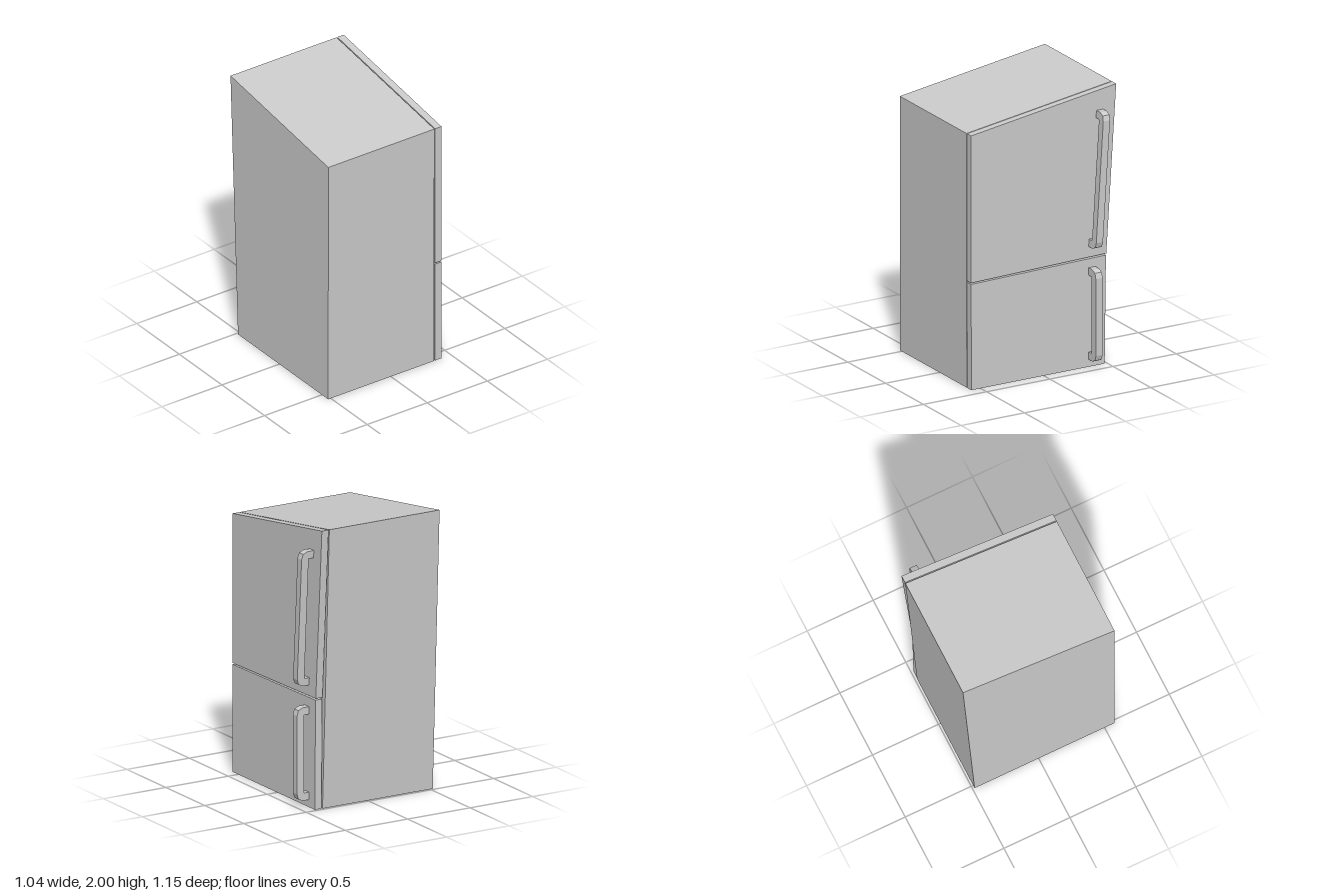
import * as THREE from 'three';

const material = new THREE.MeshStandardMaterial({ color: 0xcccccc, flatShading: true });

const shapeOf = (points) => new THREE.Shape(points.map(([x, y]) => new THREE.Vector2(x, y)));

// Slab with a side profile given as [z, y], spanning x0..x1
function slab(name, profile, x0, x1) {
  const geometry = new THREE.ExtrudeGeometry(shapeOf(profile.map(([z, y]) => [-z, y])), {
    depth: x1 - x0, bevelEnabled: false,
  });
  geometry.rotateY(Math.PI / 2).translate(x0, 0, 0);
  const mesh = new THREE.Mesh(geometry, material);
  mesh.name = name;
  return mesh;
}

// Bracket handle with chamfered outer corners, leaning back by lean from bottom to top
function handle(name, y0, y1, lean) {
  const root = 0.418, inner = 0.46, outer = 0.516, t = 0.053;
  const geometry = new THREE.ExtrudeGeometry(shapeOf([
    [root, y0], [0.471, y0], [0.504, y0 + 0.015], [outer, y0 + 0.052],
    [outer, y1 - 0.052], [0.504, y1 - 0.015], [0.471, y1], [root, y1],
    [root, y1 - t], [inner, y1 - t], [inner, y0 + t], [root, y0 + t],
  ]), { depth: 0.053, bevelEnabled: false });
  const p = geometry.attributes.position;
  for (let i = 0; i < p.count; i++) {
    p.setZ(i, p.getZ(i) - 0.408 - lean * (p.getY(i) - y0) / (y1 - y0));
  }
  geometry.computeVertexNormals();
  const mesh = new THREE.Mesh(geometry, material);
  mesh.name = name;
  return mesh;
}

export function createModel() {
  const group = new THREE.Group();
  group.name = 'refrigerator';

  // Cabinet with sloping top and leaning back
  group.add(slab('cabinet', [[0.573, 0], [-0.485, 0], [-0.573, 2], [0.575, 1.832]].reverse(), -0.522, 0.36));

  // Two doors, separated from the cabinet and each other by narrow gaps
  group.add(slab('upperDoor', [[0.575, 0.772], [-0.495, 0.792], [-0.573, 2], [0.575, 1.832]].reverse(), 0.367, 0.42));
  group.add(slab('lowerDoor', [[0.573, 0], [-0.482, 0], [-0.492, 0.78], [0.574, 0.762]].reverse(), 0.367, 0.42));

  // Handles near the opening edge
  group.add(handle('upperHandle', 0.866, 1.836, 0.062));
  group.add(handle('lowerHandle', 0.053, 0.713, 0));
  return group;
}
